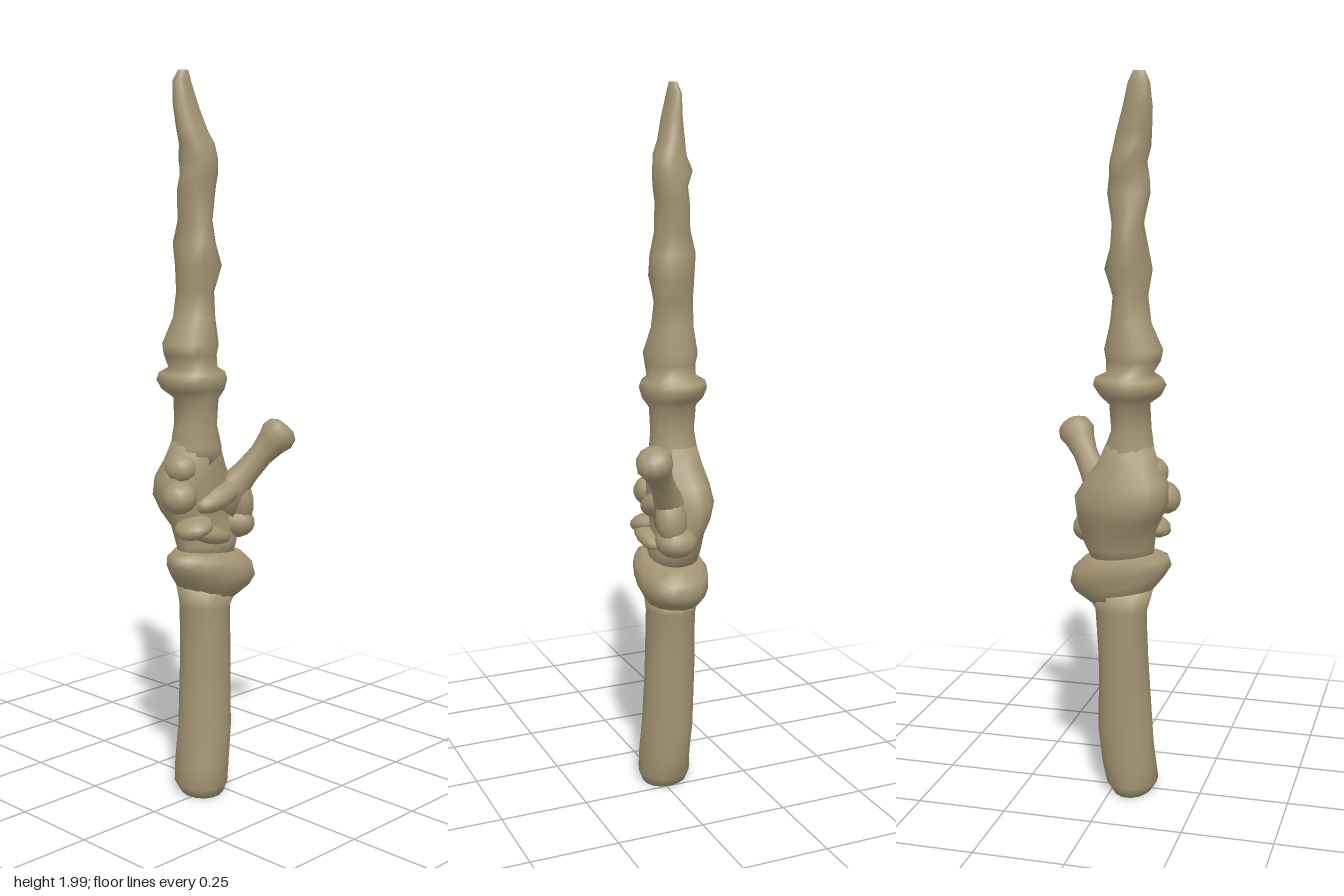
import * as THREE from 'three';

const wood = new THREE.MeshStandardMaterial({ color: 0xa39473 });
wood.name = 'aged wood';

// Skin through rings given as [y, xMin, xMax, zMin, zMax, tilt]; tilt raises y along x.
function loft(name, rings, sides = 14, wobble = 0.04) {
  const pos = [], index = [];
  const put = ([y, x0, x1, z0, z1, tilt = 0], r) => {
    for (let j = 0; j < sides; j++) {
      const a = (j / sides) * Math.PI * 2;
      const w = r * (1 + wobble * Math.sin(3 * a + y * 17));
      const dx = ((x1 - x0) / 2) * Math.cos(a) * w;
      const dz = ((z1 - z0) / 2) * Math.sin(a) * w;
      pos.push((x0 + x1) / 2 + dx, y + dx * tilt, (z0 + z1) / 2 + dz);
    }
  };
  // A tiny first and last ring closes the ends
  put(rings[0], 0.001);
  rings.forEach((r) => put(r, 1));
  put(rings[rings.length - 1], 0.001);
  for (let i = 0; i < rings.length + 1; i++) {
    for (let j = 0; j < sides; j++) {
      const a = i * sides + j, b = i * sides + ((j + 1) % sides);
      index.push(a, a + sides, b, b, a + sides, b + sides);
    }
  }
  const g = new THREE.BufferGeometry();
  g.setAttribute('position', new THREE.Float32BufferAttribute(pos, 3));
  g.setIndex(index);
  g.computeVertexNormals();
  const m = new THREE.Mesh(g, wood);
  m.name = name;
  return m;
}

function knot(name, [x, y, z], [rx, ry, rz], roll = 0) {
  const m = new THREE.Mesh(new THREE.SphereGeometry(1, 12, 8), wood);
  m.position.set(x, y, z);
  m.scale.set(rx, ry, rz);
  m.rotation.z = roll;
  m.name = name;
  return m;
}

export function createModel() {
  const model = new THREE.Group();
  model.name = 'wand';

  // Handle, flaring into the tilted collar
  model.add(loft('handle', [
    [0.01, -0.11, 0.0, -0.08, 0.05],
    [0.04, -0.13, 0.02, -0.09, 0.06],
    [0.1, -0.125, 0.03, -0.09, 0.06],
    [0.2, -0.115, 0.04, -0.09, 0.055],
    [0.4, -0.1, 0.04, -0.095, 0.05],
    [0.55, -0.1, 0.045, -0.095, 0.045],
    [0.6, -0.115, 0.07, -0.1, 0.055, -0.15],
  ]));
  model.add(loft('handleCollar', [
    [0.58, -0.1, 0.06, -0.095, 0.05, -0.15],
    [0.62, -0.14, 0.11, -0.105, 0.075, -0.2],
    [0.65, -0.16, 0.13, -0.11, 0.085, -0.2],
    [0.68, -0.155, 0.12, -0.115, 0.08, -0.17],
    [0.705, -0.13, 0.08, -0.1, 0.055, -0.1],
  ]));

  // Gnarled middle
  model.add(loft('burl', [
    [0.69, -0.11, 0.06, -0.09, 0.04],
    [0.73, -0.12, 0.08, -0.1, 0.04],
    [0.78, -0.13, 0.09, -0.11, 0.03],
    [0.82, -0.15, 0.09, -0.135, 0.03],
    [0.87, -0.17, 0.095, -0.145, 0.03],
    [0.92, -0.165, 0.07, -0.135, 0.03],
    [0.97, -0.135, 0.035, -0.12, 0.03],
    [1.02, -0.115, 0.015, -0.105, 0.02],
  ]));
  model.add(
    knot('leftKnot', [0.065, 0.775, 0.0], [0.055, 0.045, 0.06], -0.2),
    knot('rightLowerKnot', [-0.105, 0.785, 0.01], [0.055, 0.03, 0.055], 0.3),
    knot('rightUpperKnot', [-0.14, 0.87, -0.01], [0.05, 0.045, 0.05], 0.4),
    knot('frontRidge', [-0.02, 0.86, 0.02], [0.085, 0.035, 0.04], 0.3),
    knot('frontRoot', [-0.06, 0.76, 0.03], [0.07, 0.025, 0.035], -0.25),
    knot('frontLeftRoot', [0.065, 0.84, 0.015], [0.04, 0.07, 0.045], 0.2),
    knot('topKnot', [-0.115, 0.945, -0.03], [0.045, 0.04, 0.05], 0.5),
  );

  // Blade-like shaft with swellings, tapering to the tip
  model.add(loft('shaft', [
    [0.95, -0.13, 0.03, -0.115, 0.03],
    [1.0, -0.12, 0.02, -0.11, 0.03],
    [1.06, -0.11, 0.0, -0.1, 0.025],
    [1.13, -0.105, 0.005, -0.105, 0.03],
    [1.155, -0.14, 0.03, -0.13, 0.045],
    [1.18, -0.155, 0.045, -0.14, 0.05],
    [1.2, -0.145, 0.04, -0.135, 0.045],
    [1.215, -0.12, 0.01, -0.11, 0.03],
    [1.25, -0.14, 0.01, -0.11, 0.03],
    [1.28, -0.145, 0.015, -0.115, 0.035],
    [1.35, -0.11, 0.0, -0.1, 0.02],
    [1.42, -0.1, -0.005, -0.095, 0.015],
    [1.49, -0.11, 0.02, -0.095, 0.03],
    [1.55, -0.1, 0.0, -0.105, 0.025],
    [1.61, -0.09, -0.005, -0.09, 0.012],
    [1.69, -0.105, 0.01, -0.08, 0.01],
    [1.73, -0.1, 0.008, -0.075, 0.018],
    [1.77, -0.095, 0.005, -0.09, 0.022],
    [1.81, -0.105, -0.002, -0.075, 0.015],
    [1.85, -0.11, -0.015, -0.075, -0.005],
    [1.91, -0.115, -0.035, -0.075, -0.022],
    [1.97, -0.11, -0.05, -0.075, -0.037],
    [2.0, -0.095, -0.062, -0.062, -0.042],
  ]));

  // Side branch with a knobbed end
  const profile = [[0.0, 0], [0.06, 0], [0.045, 0.06], [0.036, 0.12], [0.034, 0.18],
    [0.042, 0.225], [0.051, 0.25], [0.045, 0.275], [0.026, 0.288], [0, 0.29]];
  const branch = new THREE.Mesh(
    new THREE.LatheGeometry(profile.map(([r, y]) => new THREE.Vector2(r, y)), 10), wood);
  branch.name = 'sideBranch';
  branch.position.set(0.015, 0.83, -0.015);
  branch.quaternion.setFromUnitVectors(
    new THREE.Vector3(0, 1, 0), new THREE.Vector3(0.128, 0.2, 0.115).normalize());
  model.add(branch);

  return model;
}
